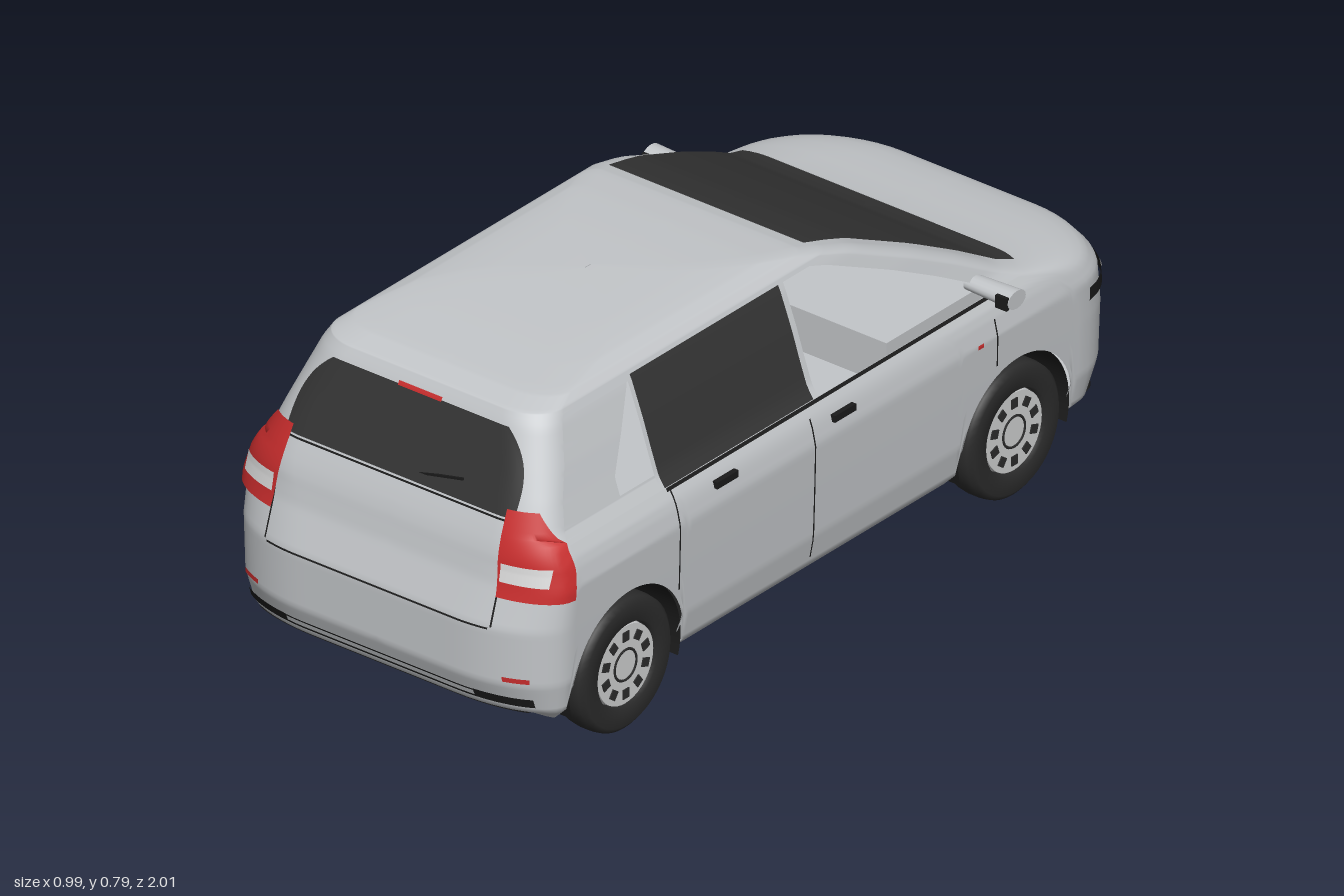
import * as THREE from 'three';
import { mergeGeometries, mergeVertices } from 'three/addons/utils/BufferGeometryUtils.js';

const flat = (name, color) => {
  const m = new THREE.MeshStandardMaterial({ color, side: THREE.DoubleSide });
  m.name = name;
  return m;
};
const paint = flat('silver paint', 0xc3c6c9), glass = flat('dark glass', 0x333333);
const black = flat('black trim', 0x1b1b1b), rubber = flat('tyre rubber', 0x2b2b2b);
const red = flat('red lens', 0xc62c2c), white = flat('clear lens', 0xd9d9d9);
const alloy = flat('wheel alloy', 0xcfd0d1);

// Body plan outline by height:
// y, half width, nose z, front corner z, rear corner z, tail z, front and rear corner widths
const rows = [
  [.10, .385, -.86, -.80, .88, .90, .25, .22],
  [.13, .415, -.95, -.80, .88, .97, .25, .22],
  [.20, .428, -.995, -.80, .88, .998, .25, .22],
  [.33, .432, -1, -.80, .88, 1, .25, .22],
  [.42, .434, -.985, -.79, .87, .966, .25, .2],
  [.46, .425, -.95, -.76, .86, .957, .25, .18],
  [.48, .418, -.88, -.72, .86, .953, .22, .16],
  [.505, .403, -.70, -.63, .86, .945, .12, .14],
  [.53, .386, -.61, -.57, .85, .935, .05, .12],
  [.59, .365, -.50, -.46, .83, .908, .04, .11],
  [.65, .345, -.38, -.34, .80, .88, .04, .10],
  [.73, .315, -.20, -.16, .77, .845, .03, .10],
  [.755, .303, -.12, -.08, .75, .83, .03, .10],
  [.77, .285, -.06, -.02, .70, .77, .03, .10],
  [.78, .25, .04, .07, .55, .62, .03, .10],
  [.787, .17, .17, .19, .42, .46, .03, .08],
  [.79, .001, .29, .295, .305, .31, .0005, .0005],
];
const mix = THREE.MathUtils.lerp;
function prof(y) {
  let i = 0;
  while (i < rows.length - 2 && y > rows[i + 1][0]) i++;
  const a = rows[i], b = rows[i + 1];
  const k = THREE.MathUtils.clamp((y - a[0]) / (b[0] - a[0]), 0, 1);
  const [, w, zf, zs, ze, zr, rf, rr] = a.map((v, j) => mix(v, b[j], k));
  return { w, zf, zs, ze, zr, rf, rr };
}
// Point on half the outline: t 0-1 tail, 1-2 side, 2-3 nose
function hull(t, y) {
  const p = prof(y);
  if (t >= 1 && t <= 2) return [p.w, y, mix(p.ze, p.zs, t - 1)];
  const tail = t < 1, k = tail ? t : 3 - t;
  const r = tail ? p.rr : p.rf, zc = tail ? p.ze : p.zs, end = tail ? p.zr : p.zf;
  if (k < .4) return [(p.w - r) * k / .4, y, end];
  const a = (k - .4) / .6 * Math.PI / 2;
  return [p.w - r + r * Math.sin(a), y, zc + (end - zc) * Math.cos(a)];
}
// Grid surface; side -1 mirrors it
function patch(fn, nu, nv, side = 1) {
  const pos = [], idx = [];
  for (let j = 0; j <= nv; j++) for (let i = 0; i <= nu; i++) {
    const [x, y, z] = fn(i / nu, j / nv);
    pos.push(x * side, y, z);
  }
  for (let j = 0; j < nv; j++) for (let i = 0; i < nu; i++) {
    const a = j * (nu + 1) + i, b = a + 1, c = a + nu + 1, d = c + 1;
    idx.push(...(side > 0 ? [a, b, c, b, d, c] : [a, c, b, b, c, d]));
  }
  const g = new THREE.BufferGeometry();
  g.setAttribute('position', new THREE.Float32BufferAttribute(pos, 3));
  g.setIndex(idx);
  g.computeVertexNormals();
  return g;
}

const wheelZ = [.69, -.59], axleY = .155, archR = .182, belt = .505, top = .745;
const sill = z => {
  for (const c of wheelZ) {
    const d = Math.abs(z - c);
    if (d < archR) return axleY + Math.sqrt(archR * archR - d * d);
  }
  return .1;
};
const frontEdge = y => Math.min(prof(y).zf + .1 + Math.max(0, .53 - y) * 3, .03);
const quarterEdge = y => .665 - Math.max(0, y - .575) / .16 * .11;

export function createModel() {
  const car = new THREE.Group();
  car.name = 'car';
  const add = (name, geo, mat, x = 0, y = 0, z = 0, parent = car) => {
    const m = new THREE.Mesh(geo, mat);
    m.name = name;
    m.position.set(x, y, z);
    parent.add(m);
    return m;
  };
  const box = (name, mat, w, h, d, x, y, z, parent) => add(name, new THREE.BoxGeometry(w, h, d), mat, x, y, z, parent);

  // Body shell: lower body, nose and tail screens, pillars, roof
  const shell = [];
  for (const s of [1, -1]) {
    const ring = (t0, t1, y0, y1, nu, nv) =>
      shell.push(patch((u, v) => hull(mix(t0, t1, u), mix(y0, y1, v)), nu, nv, s));
    const pillar = (za, zb, y0, y1) => shell.push(patch((u, v) => {
      const y = mix(y0, y1, v);
      return [prof(y).w, y, mix(za(y), zb(y), u)];
    }, 4, 24, s));
    ring(0, 1, .1, belt, 20, 40);
    ring(2, 3, .1, belt, 20, 40);
    shell.push(patch((u, v) => hull(1 + u, mix(sill(mix(.88, -.8, u)), belt, v)), 160, 40, s));
    ring(0, 1, belt, top, 20, 24);
    ring(2, 3, belt, top, 20, 24);
    for (const [a, b] of [[0, 1], [1, 2], [2, 3]]) ring(a, b, top, .79, 20, 18);
    const ze = y => prof(y).ze, rearDoor = () => .54;
    pillar(frontEdge, y => prof(y).zs, belt, top);
    pillar(() => .05, () => .035, belt, top);
    pillar(() => .552, rearDoor, belt, top);
    pillar(ze, rearDoor, belt, .535);
    pillar(ze, quarterEdge, .535, .735);
    pillar(ze, rearDoor, .735, top);
  }
  for (const g of shell) g.deleteAttribute('normal');
  const bodyGeo = mergeVertices(mergeGeometries(shell), 1e-4);
  bodyGeo.computeVertexNormals();
  add('bodyShell', bodyGeo, paint);

  // Thin plates following the tail (dir 1) or nose (dir -1), on both halves
  const plate = (name, mat, dir, y0, y1, x0, x1, off = .005, lift = 0) => {
    for (const s of [1, -1]) add(name, patch((u, v) => {
      const y = mix(y0, y1, v), p = prof(y), r = dir > 0 ? p.rr : p.rf;
      const f = q => (typeof q === 'function' ? q(y) : q);
      const x = Math.min(mix(f(x0), f(x1), u), p.w);
      const d = Math.min(1, Math.max(0, x - p.w + r) / r);
      const zc = dir > 0 ? p.ze : p.zs, end = dir > 0 ? p.zr : p.zf;
      return [x + off * d, y + lift, zc + (end - zc) * Math.sqrt(1 - d * d) + dir * off];
    }, 24, 14, s), mat);
  };
  // Thin plates on the flanks
  const flank = (name, mat, y0, y1, z0, z1, off = .003) => {
    for (const s of [1, -1]) add(name, patch((u, v) => {
      const y = mix(y0, y1, v);
      return [prof(y).w + off, y, mix(z1, z0, u)];
    }, 1, 16, s), mat);
  };

  // Glass
  plate('windscreen', glass, -1, .515, .764, 0, y => mix(.362, .262, (y - .515) / .249), .005, .005);
  plate('rearWindow', glass, 1, .562, .728, 0, y => .305 - .07 * Math.pow((y - .562) / .166, 3));
  flank('rearDoorGlass', glass, belt, top, .05, .54, -.001);

  // Tail details
  const lampOuter = y => (y > .52 ? mix(.39, .345, (y - .52) / .06) : .436);
  plate('tailLamp', red, 1, .4, .58, y => mix(.3, .285, (y - .4) / .18), lampOuter, .008);
  plate('reverseLamp', white, 1, .435, .475, .302, .40, .011);
  plate('highBrakeLamp', red, 1, .727, .736, 0, .058, .009);
  plate('rearReflector', red, 1, .211, .222, .325, .378);
  plate('tailgateSeam', black, 1, .335, .555, .299, .303);
  plate('tailgateSeam', black, 1, .329, .333, 0, .295);
  plate('tailgateSeam', black, 1, .554, .558, 0, .3);
  plate('bumperVent', black, 1, .15, .169, .25, .378);
  plate('bumperLine', black, 1, .147, .152, 0, .378);
  plate('bumperLine', black, 1, .164, .168, 0, .25);
  plate('rearUndertray', black, 1, .1, .128, 0, y => mix(.33, .36, (y - .1) / .028), .004);
  box('wiper', black, .17, .005, .005, .083, .588, .914).rotation.z = .22;

  // Nose details
  plate('headlamp', black, -1, .375, .405, .25, .432);
  plate('headlampLens', white, -1, .384, .394, .29, .37, .008);
  plate('indicator', red, -1, .374, .405, .215, .25);
  for (let i = 0; i < 4; i++) {
    plate('upperGrilleSlot', black, -1, .33 + i * .014, .333 + i * .014, 0, .15);
    plate('lowerGrilleSlot', black, -1, .2 + i * .017, .203 + i * .017, 0, .2);
  }
  plate('frontVent', black, -1, .118, .135, .25, .39);

  // Flank details
  flank('beltTrim', black, .499, .506, -.52, .54);
  flank('doorSeam', black, .27, .5, .528, .532);
  flank('doorSeam', black, .15, .48, .083, .087);
  flank('doorSeam', black, .35, .46, -.517, -.513);
  flank('sideMarker', red, .415, .424, -.47, -.452);
  for (const s of [1, -1]) {
    box('rearDoorHandle', black, .014, .016, .07, s * .427, .463, .37);
    box('frontDoorHandle', black, .014, .016, .07, s * .429, .455, -.015);

    // Door mirror
    const mirror = new THREE.Group();
    mirror.name = 'doorMirror';
    car.add(mirror);
    const arm = new THREE.CylinderGeometry(.021, .017, .125, 16).rotateZ(-s * Math.PI / 2).scale(1, 1, 1.4);
    add('mirrorHousing', arm, paint, s * .43, .531, -.51, mirror);
    box('mirrorGlass', black, .03, .03, .008, s * .476, .531, -.481, mirror);
  }

  // Underside and cabin
  const outline = [];
  for (let i = 0; i <= 60; i++) outline.push(hull(i / 20, .1));
  const half = outline.map(([x, , z]) => new THREE.Vector2(x, z));
  const mirrored = half.slice(1, -1).reverse().map(p => new THREE.Vector2(-p.x, p.y));
  const floor = new THREE.ShapeGeometry(new THREE.Shape([...half, ...mirrored])).rotateX(Math.PI / 2);
  add('underside', floor, black, 0, .102, 0);
  box('cabinFloor', paint, .8, .01, 1.4, 0, .35, .1);
  box('dashboard', paint, .74, .1, .34, 0, .455, -.4);
  const steering = add('steeringWheel', new THREE.TorusGeometry(.055, .006, 8, 28), paint, -.17, .535, -.235);
  steering.rotation.x = -.5;

  // Wheels and arch liners
  const tyre = new THREE.LatheGeometry([[.095, -.04], [.14, -.04], [.152, -.03], [.155, -.012], [.155, .012],
    [.152, .03], [.14, .04], [.1, .04], [.095, .025]].map(p => new THREE.Vector2(...p)), 48);
  for (const z of wheelZ) for (const s of [1, -1]) {
    const wheel = new THREE.Group();
    wheel.name = 'wheel';
    wheel.position.set(s * .386, axleY, z);
    wheel.rotation.z = -s * Math.PI / 2;
    car.add(wheel);
    add('tyre', tyre, rubber, 0, 0, 0, wheel);
    add('rim', new THREE.CylinderGeometry(.092, .1, .066, 40), alloy, 0, 0, 0, wheel);
    add('innerCover', new THREE.CylinderGeometry(.1, .1, .01, 32), rubber, 0, -.036, 0, wheel);
    for (let i = 0; i < 10; i++) {
      const a = i * Math.PI / 5;
      const slot = box('rimSlot', rubber, .022, .006, .02, Math.cos(a) * .068, .033, Math.sin(a) * .068, wheel);
      slot.rotation.y = -a;
    }
    const hubRing = add('hubRing', new THREE.TorusGeometry(.036, .003, 6, 28), rubber, 0, .033, 0, wheel);
    hubRing.rotation.x = Math.PI / 2;

    // Liner arc and its inner wall
    const arc = patch((u, v) => {
      const a = mix(-.3, Math.PI + .3, u);
      return [mix(.27, .418, v) * s, axleY + Math.sin(a) * (archR + .001), z + Math.cos(a) * (archR + .001)];
    }, 36, 1);
    add('archLiner', arc, black);
    const wall = new THREE.CircleGeometry(archR, 36, -.3, Math.PI + .6).rotateY(Math.PI / 2);
    add('archWall', wall, black, s * .3, axleY, z);
  }
  return car;
}
